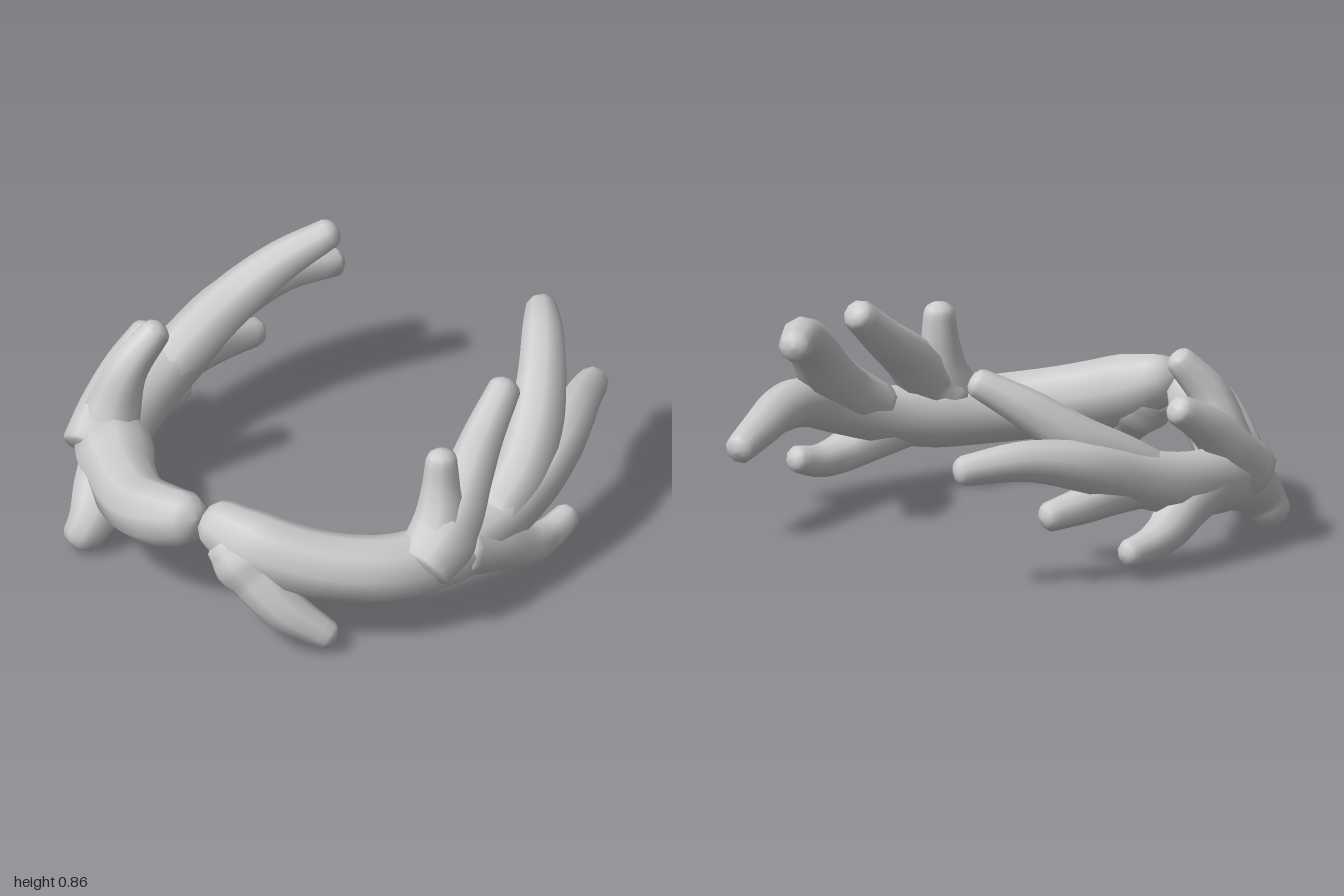
import * as THREE from 'three';

const SIDES = 9;

// Sweeps a round section along points of [x, y, z, radius] and closes both ends with domed caps.
function branchGeometry(points, startDome, endDome) {
  const path = new THREE.CatmullRomCurve3(points.map(p => new THREE.Vector3(p[0], p[1], p[2])));
  const radii = new THREE.CatmullRomCurve3(points.map(p => new THREE.Vector3(p[3], 0, 0)));
  const steps = points.length * 4;
  const frames = path.computeFrenetFrames(steps, false);
  const rings = [];
  const addRing = (i, radius, shift) => rings.push({ i, radius, shift });
  const radiusAt = i => radii.getPoint(path.getUtoTmapping(i / steps)).x;

  // Cap profile as [share of radius, share of dome length]
  const dome = [[0.03, 1], [0.5, 0.88], [0.84, 0.5]];
  const r0 = radiusAt(0), r1 = radiusAt(steps);
  dome.forEach(([w, d]) => addRing(0, r0 * w, -r0 * d * startDome));
  for (let i = 0; i <= steps; i++) addRing(i, radiusAt(i), 0);
  dome.slice().reverse().forEach(([w, d]) => addRing(steps, r1 * w, r1 * d * endDome));

  const positions = [], index = [];
  rings.forEach(({ i, radius, shift }) => {
    const centre = path.getPointAt(i / steps).addScaledVector(frames.tangents[i], shift);
    for (let j = 0; j < SIDES; j++) {
      const a = (j / SIDES) * Math.PI * 2;
      const p = centre.clone()
        .addScaledVector(frames.normals[i], Math.cos(a) * radius)
        .addScaledVector(frames.binormals[i], Math.sin(a) * radius);
      positions.push(p.x, p.y, p.z);
    }
  });
  for (let k = 0; k < rings.length - 1; k++) {
    for (let j = 0; j < SIDES; j++) {
      const a = k * SIDES + j, b = k * SIDES + (j + 1) % SIDES;
      index.push(a, b, a + SIDES, b, b + SIDES, a + SIDES);
    }
  }
  // Close the tiny end rings
  const last = (rings.length - 1) * SIDES;
  for (let j = 1; j < SIDES - 1; j++) {
    index.push(0, j + 1, j, last, last + j, last + j + 1);
  }
  const geometry = new THREE.BufferGeometry();
  geometry.setAttribute('position', new THREE.Float32BufferAttribute(positions, 3));
  geometry.setIndex(index);
  geometry.computeVertexNormals();
  return geometry;
}

// The two antlers are siblings but not exact mirrors.
// Each tine starts inside the beam and swells out of it, so the forks look grown together.
const leftAntler = {
  beam: [[0.1, 0.46, 0.86, 0.11], [0.28, 0.395, 0.82, 0.145], [0.5, 0.335, 0.7, 0.14],
    [0.69, 0.3, 0.52, 0.138], [0.8, 0.295, 0.28, 0.135], [0.85, 0.325, 0.04, 0.115],
    [0.865, 0.39, -0.2, 0.108], [0.84, 0.45, -0.4, 0.102], [0.77, 0.455, -0.6, 0.09],
    [0.68, 0.42, -0.8, 0.076], [0.62, 0.385, -0.95, 0.063]],
  upperTine: [[0.85, 0.35, 0.03, 0.1], [0.84, 0.45, -0.15, 0.11], [0.79, 0.57, -0.32, 0.112],
    [0.72, 0.695, -0.46, 0.1], [0.61, 0.785, -0.62, 0.085], [0.505, 0.79, -0.76, 0.065]],
  innerTine: [[0.8, 0.31, 0.45, 0.12], [0.81, 0.42, 0.28, 0.12], [0.78, 0.555, 0.12, 0.1],
    [0.745, 0.655, -0.03, 0.084], [0.73, 0.79, -0.2, 0.066]],
  shortTine: [[0.79, 0.33, 0.4, 0.125], [0.785, 0.46, 0.32, 0.105], [0.77, 0.6, 0.285, 0.078],
    [0.765, 0.72, 0.275, 0.064]],
  outerTine: [[0.83, 0.31, 0.25, 0.12], [0.88, 0.25, 0.06, 0.11], [0.925, 0.18, -0.1, 0.082],
    [0.93, 0.165, -0.22, 0.067], [0.935, 0.19, -0.34, 0.056]],
  browTine: [[0.16, 0.42, 0.86, 0.12], [0.28, 0.31, 0.87, 0.12], [0.42, 0.185, 0.86, 0.092],
    [0.57, 0.075, 0.78, 0.062]],
};
const rightAntler = {
  beam: [[-0.07, 0.43, 0.865, 0.112], [-0.2, 0.385, 0.84, 0.13], [-0.38, 0.32, 0.75, 0.135],
    [-0.58, 0.3, 0.59, 0.14], [-0.76, 0.295, 0.38, 0.14], [-0.83, 0.32, 0.1, 0.13],
    [-0.83, 0.38, -0.15, 0.12], [-0.81, 0.47, -0.43, 0.105], [-0.73, 0.52, -0.68, 0.083],
    [-0.62, 0.5, -0.91, 0.062]],
  upperTine: [[-0.83, 0.34, 0, 0.1], [-0.79, 0.45, -0.2, 0.11], [-0.73, 0.56, -0.39, 0.102],
    [-0.62, 0.69, -0.55, 0.085], [-0.485, 0.8, -0.695, 0.062]],
  innerTine: [[-0.79, 0.3, 0.5, 0.12], [-0.81, 0.4, 0.38, 0.11], [-0.82, 0.52, 0.25, 0.085],
    [-0.815, 0.62, 0.09, 0.063]],
  shortTine: [[-0.77, 0.32, 0.42, 0.13], [-0.76, 0.46, 0.38, 0.112], [-0.72, 0.62, 0.35, 0.085],
    [-0.65, 0.77, 0.25, 0.06]],
  outerTine: [[-0.83, 0.3, 0.22, 0.115], [-0.87, 0.24, 0.06, 0.105], [-0.915, 0.165, -0.08, 0.085],
    [-0.925, 0.13, -0.18, 0.07], [-0.925, 0.115, -0.29, 0.057]],
  lowerTine: [[-0.83, 0.36, -0.05, 0.1], [-0.82, 0.345, -0.25, 0.09], [-0.805, 0.315, -0.42, 0.076],
    [-0.77, 0.285, -0.58, 0.06]],
  browTine: [[-0.72, 0.27, 0.45, 0.13], [-0.65, 0.21, 0.62, 0.122], [-0.63, 0.13, 0.72, 0.095],
    [-0.65, 0.065, 0.76, 0.078]],
};

export function createModel() {
  const grey = new THREE.MeshStandardMaterial({ color: 0xcccccc });
  grey.name = 'grey horn';
  const model = new THREE.Group();
  model.name = 'antlerWreath';
  for (const [name, parts] of Object.entries({ leftAntler, rightAntler })) {
    const antler = new THREE.Group();
    antler.name = name;
    for (const [part, points] of Object.entries(parts)) {
      const mesh = new THREE.Mesh(branchGeometry(points, part === 'beam' ? 0.7 : 0.2, 0.6), grey);
      mesh.name = part;
      antler.add(mesh);
    }
    model.add(antler);
  }
  return model;
}
